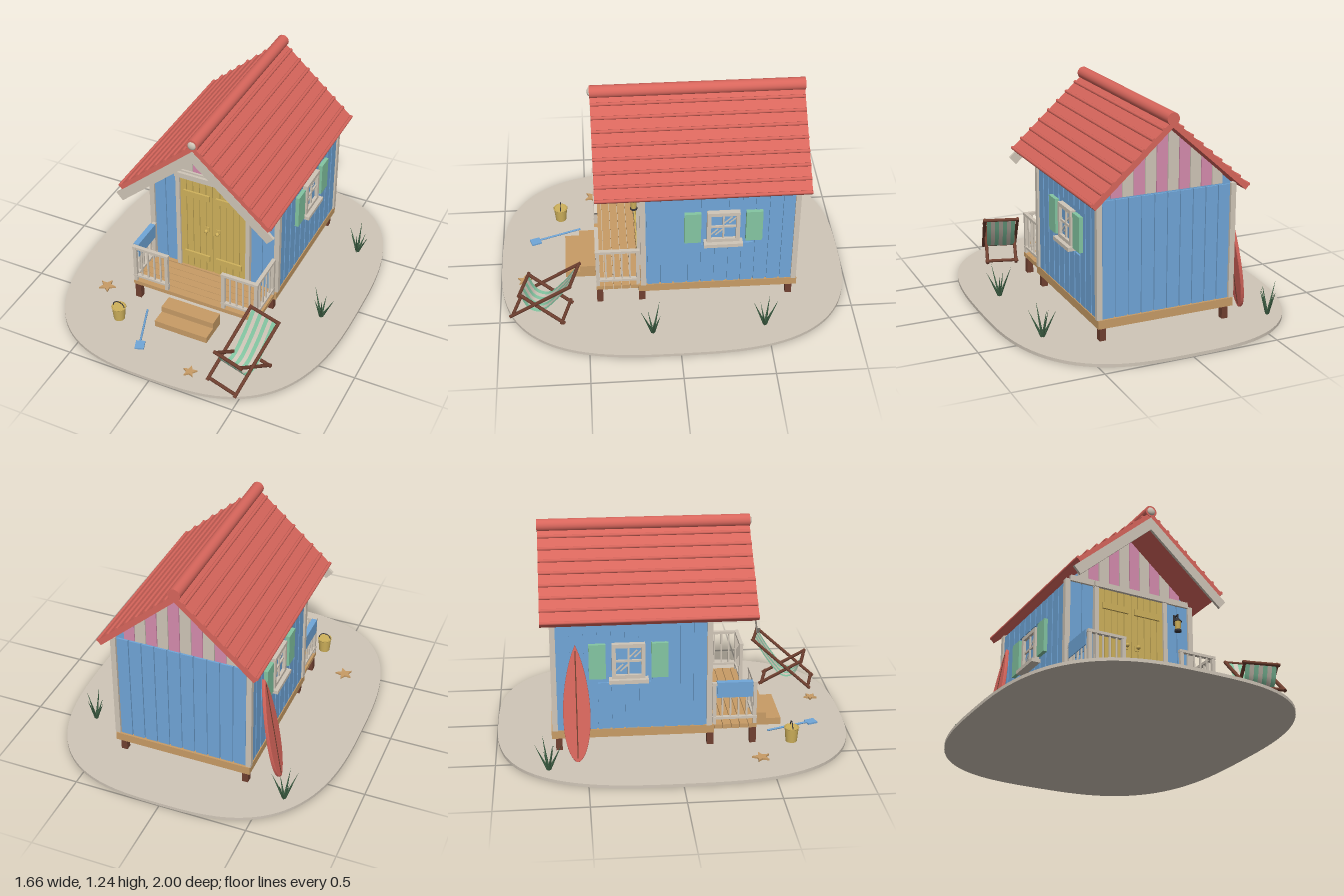
import * as THREE from 'three';

const mat = (name, color) => Object.assign(new THREE.MeshStandardMaterial({ color }), { name });
const CREAM = mat('cream sand', 0xd0c6b8), BLUE = mat('sea blue', 0x70a6d8), RED = mat('tile red', 0xd8665c);
const YELLOW = mat('door yellow', 0xd0b25c), WOOD = mat('deck wood', 0xc89c66), BROWN = mat('dark wood', 0x704030);
const MINT = mat('mint', 0x84c6a2), PINK = mat('pink', 0xd68cae), GREEN = mat('grass green', 0x3f6246);
const DARK = mat('dark metal', 0x38363a);
[MINT, CREAM, GREEN].forEach((m) => { m.side = THREE.DoubleSide; });

const GROUND = 0.018, FLOOR = 0.145, SLOPE = 0.89, A = Math.atan(SLOPE);

function add(parent, name, geo, material, x = 0, y = 0, z = 0) {
  const m = new THREE.Mesh(geo, material);
  m.name = name;
  m.position.set(x, y, z);
  parent.add(m);
  return m;
}
// box given by its minimum and maximum corners
const box = (p, name, m, x0, x1, y0, y1, z0, z1) => add(p, name,
  new THREE.BoxGeometry(x1 - x0, y1 - y0, z1 - z0), m, (x0 + x1) / 2, (y0 + y1) / 2, (z0 + z1) / 2);
const group = (p, name, x = 0, y = 0, z = 0) => {
  const g = new THREE.Group();
  g.name = name;
  g.position.set(x, y, z);
  p.add(g);
  return g;
};
const extrude = (pts, depth) => new THREE.ExtrudeGeometry(
  new THREE.Shape(pts.map(([x, y]) => new THREE.Vector2(x, y))), { depth, bevelEnabled: false });
// round or square bar between two points
function bar(p, name, m, a, b, r, sides = 8) {
  const va = new THREE.Vector3(...a), d = new THREE.Vector3(...b).sub(va);
  const o = add(p, name, new THREE.CylinderGeometry(r, r, d.length(), sides), m);
  o.position.copy(va).addScaledVector(d, 0.5);
  o.quaternion.setFromUnitVectors(new THREE.Vector3(0, 1, 0), d.normalize());
  return o;
}

function buildGround(root) {
  const pts = [];
  for (let i = 0; i < 96; i++) {
    const t = (i / 96) * Math.PI * 2, f = (v) => Math.sign(v) * Math.abs(v) ** (2 / 2.9);
    pts.push([0.83 * f(Math.cos(t)), f(Math.sin(t))]);
  }
  add(root, 'sandBase', extrude(pts, GROUND).rotateX(-Math.PI / 2), CREAM);
}

function buildWalls(root) {
  const g = group(root, 'walls');
  add(g, 'wallCore', extrude([[-0.385, FLOOR], [0.385, FLOOR], [0.385, 0.8], [0, 1.145], [-0.385, 0.8]], 0.845),
    BLUE, 0, 0, -0.667);
  // side boards, cut short around the window
  for (const s of [-1, 1]) for (let i = 0; i < 11; i++) {
    const z = 0.127 - i * 0.075, x = s * 0.389;
    const spans = z < -0.14 && z > -0.4 ? [[FLOOR, 0.42], [0.68, 0.79]] : [[FLOOR, 0.79]];
    for (const [a, b] of spans) box(g, 'sideBoard', BLUE, x - 0.006, x + 0.006, a, b, z - 0.032, z + 0.032);
  }
  // back and front boards
  for (let i = 0; i < 10; i++) {
    const x = (i - 4.5) * 0.075;
    box(g, 'backBoard', BLUE, x - 0.033, x + 0.033, FLOOR, 0.795, -0.677, -0.665);
  }
  for (const s of [-1, 1]) for (const x of [0.265, 0.34])
    box(g, 'frontBoard', BLUE, s * x - 0.033, s * x + 0.033, FLOOR, 0.795, 0.176, 0.187);
  for (const x of [-0.39, 0.39]) for (const z of [-0.67, 0.182])
    box(g, 'cornerTrim', CREAM, x - 0.015, x + 0.015, FLOOR, 0.8, z - 0.015, z + 0.015);
  // striped gable boards
  for (const z of [0.176, -0.679]) for (let i = -5; i < 5; i++) {
    const a = i * 0.065 + 0.002, b = a + 0.061, top = (x) => 1.145 - SLOPE * Math.abs(x);
    add(g, 'gableBoard', extrude([[a, 0.805], [b, 0.805], [b, top(b)], [a, top(a)]], 0.012),
      i % 2 ? CREAM : PINK, 0, 0, z);
  }
  box(g, 'gableBeam', CREAM, -0.375, 0.375, 0.79, 0.825, 0.18, 0.2);
}

function buildRoof(root) {
  const g = group(root, 'roof');
  for (const s of [-1, 1]) {
    const side = group(g, 'roofSlope', 0, 1.2, 0), L = 0.609;
    side.rotation.z = -s * A;
    add(side, 'roofSlab', new THREE.BoxGeometry(L, 0.032, 1.175), RED, s * L / 2, -0.016, -0.147);
    for (let i = 0; i < 8; i++)
      add(side, 'tileRib', new THREE.CylinderGeometry(0.01, 0.01, 1.175, 8).rotateX(Math.PI / 2), RED,
        s * (0.07 + i * 0.076), 0, -0.147);
    const barge = group(g, 'bargeBoard', 0, 1.165, 0.434);
    barge.rotation.z = -s * A;
    add(barge, 'bargePlank', new THREE.BoxGeometry(0.634, 0.057, 0.016), CREAM, s * 0.317, -0.0285, 0);
  }
  add(g, 'ridgeCap', new THREE.CylinderGeometry(0.035, 0.035, 1.18, 20).rotateX(Math.PI / 2), RED, 0, 1.203, -0.147);
  add(g, 'ridgeKnob', new THREE.SphereGeometry(0.024, 16, 10).scale(1, 1, 0.5), CREAM, 0, 1.203, 0.443);
}

function buildDoor(root) {
  const g = group(root, 'doubleDoor');
  box(g, 'doorBacking', YELLOW, -0.205, 0.205, FLOOR, 0.785, 0.176, 0.192);
  for (const s of [-1, 1]) {
    const leaf = group(g, 'doorLeaf');
    for (let i = 0; i < 5; i++)
      add(leaf, 'doorPlank', new THREE.BoxGeometry(0.036, 0.635, 0.01), YELLOW, s * (0.023 + i * 0.0405), 0.465, 0.195);
    for (const y of [0.245, 0.68])
      add(leaf, 'doorBatten', new THREE.BoxGeometry(0.16, 0.038, 0.012), YELLOW, s * 0.1, y, 0.205);
    add(leaf, 'doorPlate', new THREE.BoxGeometry(0.026, 0.03, 0.006), YELLOW, s * 0.035, 0.46, 0.202);
    add(leaf, 'doorKnob', new THREE.SphereGeometry(0.012, 12, 8), YELLOW, s * 0.035, 0.46, 0.222);
    add(g, 'doorJamb', new THREE.BoxGeometry(0.025, 0.64, 0.032), CREAM, s * 0.217, 0.465, 0.194);
  }
  box(g, 'doorHeader', CREAM, -0.232, 0.232, 0.783, 0.815, 0.18, 0.217);
}

function buildWindow(root, s) {
  const g = group(root, s > 0 ? 'leftWindow' : 'rightWindow', s * 0.385, 0.55, -0.262);
  g.rotation.y = s * Math.PI / 2; // local +z points out of the wall
  box(g, 'glass', BLUE, -0.08, 0.08, -0.095, 0.095, 0, 0.012);
  for (const e of [-1, 1]) {
    add(g, 'frameSide', new THREE.BoxGeometry(0.022, 0.2, 0.03), CREAM, e * 0.08, 0, 0.015);
    add(g, 'frameRail', new THREE.BoxGeometry(0.18, 0.022, 0.03), CREAM, 0, e * 0.09, 0.015);
    box(g, 'shutter', MINT, e * 0.17 - 0.046, e * 0.17 + 0.046, -0.097, 0.103, 0.008, 0.032);
    for (const dx of [-0.012, 0.016])
      add(g, 'glint', new THREE.BoxGeometry(0.008, 0.06, 0.003), CREAM, e * 0.038 + dx, e * 0.04, 0.013).rotation.z = -0.8;
  }
  box(g, 'mullion', CREAM, -0.005, 0.005, -0.085, 0.085, 0, 0.022);
  box(g, 'glazingBar', CREAM, -0.075, 0.075, -0.006, 0.006, 0, 0.022);
  box(g, 'sill', CREAM, -0.108, 0.108, -0.122, -0.1, 0, 0.053);
}

function buildPorch(root) {
  const g = group(root, 'porch');
  box(g, 'hutFloor', WOOD, -0.4, 0.4, 0.097, FLOOR, -0.69, 0.21);
  for (let i = 0; i < 5; i++)
    box(g, 'deckBoard', WOOD, -0.39, 0.39, 0.115, 0.14, 0.212 + i * 0.048, 0.257 + i * 0.048);
  for (const x of [-0.365, 0.365]) for (const z of [-0.65, 0.19, 0.43])
    box(g, 'stilt', BROWN, x - 0.018, x + 0.018, 0.012, 0.116, z - 0.018, z + 0.018);
  box(g, 'upperStep', WOOD, -0.164, 0.162, 0.015, 0.095, 0.45, 0.54);
  box(g, 'lowerStep', WOOD, -0.164, 0.162, 0.015, 0.058, 0.54, 0.625);
  // railings on the front and both ends
  for (const s of [-1, 1]) {
    const r = group(g, 'railing');
    for (const [x, z] of [[0.378, 0.438], [0.178, 0.438], [0.378, 0.212]])
      box(r, 'railPost', CREAM, s * x - 0.01, s * x + 0.01, 0.135, 0.385, z - 0.01, z + 0.01);
    for (const [y, h] of [[0.382, 0.016], [0.178, 0.014]]) {
      add(r, 'frontRail', new THREE.BoxGeometry(0.225, h, 0.022), CREAM, s * 0.278, y, 0.438);
      add(r, 'sideRail', new THREE.BoxGeometry(0.022, h, 0.25), CREAM, s * 0.378, y, 0.325);
    }
    for (let i = 1; i < 5; i++) {
      add(r, 'frontBaluster', new THREE.BoxGeometry(0.009, 0.2, 0.009), CREAM, s * (0.178 + i * 0.04), 0.28, 0.438);
      add(r, 'sideBaluster', new THREE.BoxGeometry(0.009, 0.2, 0.009), CREAM, s * 0.378, 0.28, 0.212 + i * 0.045);
    }
  }
  // towel over the right railing
  box(g, 'towelTop', BLUE, -0.394, -0.362, 0.39, 0.395, 0.225, 0.425);
  box(g, 'towelInside', BLUE, -0.366, -0.362, 0.305, 0.392, 0.225, 0.425);
  box(g, 'towelOutside', BLUE, -0.394, -0.39, 0.305, 0.392, 0.225, 0.425);
}

function buildLantern(root) {
  const g = group(root, 'lantern', 0.29, 0, 0.225);
  add(g, 'lampGlass', new THREE.CylinderGeometry(0.018, 0.016, 0.056, 8), YELLOW, 0, 0.647);
  add(g, 'lampBase', new THREE.CylinderGeometry(0.021, 0.021, 0.01, 8), DARK, 0, 0.617);
  add(g, 'lampCap', new THREE.CylinderGeometry(0.008, 0.025, 0.022, 8), DARK, 0, 0.685);
  box(g, 'lampPlate', DARK, -0.009, 0.009, 0.665, 0.728, -0.042, -0.03);
  bar(g, 'lampArm', DARK, [0, 0.717, -0.035], [0, 0.717, 0.004], 0.005);
  bar(g, 'lampHook', DARK, [0, 0.717, 0], [0, 0.69, 0], 0.004);
}

function buildDeckChair(root) {
  const g = group(root, 'deckChair', 0.44, 0, 0.735);
  g.rotation.y = -0.28;
  for (const x of [-0.098, 0.098]) {
    bar(g, 'longFrame', BROWN, [x, 0.325, -0.18], [x, 0.028, 0.185], 0.01);
    bar(g, 'shortFrame', BROWN, [x * 0.88, 0.2, 0.13], [x * 0.88, 0.028, -0.13], 0.01);
  }
  for (const [y, z] of [[0.318, -0.172], [0.195, 0.125], [0.038, 0.172], [0.038, -0.115]])
    bar(g, 'crossBar', BROWN, [-0.1, y, z], [0.1, y, z], 0.01);
  // striped sling
  const sag = new THREE.CatmullRomCurve3([[0.325, -0.172], [0.19, -0.085], [0.09, 0.01], [0.1, 0.075], [0.203, 0.128]]
    .map(([y, z]) => new THREE.Vector3(0, y, z)));
  for (let i = 0; i < 7; i++) {
    const geo = new THREE.PlaneGeometry(0.024, 1, 1, 14), p = geo.attributes.position;
    for (let k = 0; k < p.count; k++) {
      const c = sag.getPoint(0.5 - p.getY(k));
      p.setXYZ(k, p.getX(k) + (i - 3) * 0.024, c.y, c.z);
    }
    geo.computeVertexNormals();
    add(g, 'slingStripe', geo, i % 2 ? CREAM : MINT);
  }
}

function buildBeachThings(root) {
  // surfboard leaning on the right wall
  const surf = group(root, 'surfboard', -0.532, 0.018, -0.55);
  surf.rotation.z = -0.165;
  const outline = new THREE.Shape();
  outline.moveTo(0, 0);
  outline.bezierCurveTo(0.075, 0.03, 0.11, 0.36, 0, 0.645);
  outline.bezierCurveTo(-0.11, 0.36, -0.075, 0.03, 0, 0);
  add(surf, 'board', new THREE.ExtrudeGeometry(outline, { depth: 0.012, curveSegments: 20, bevelSize: 0.004,
    bevelThickness: 0.004, bevelSegments: 2 }).rotateY(Math.PI / 2), RED);
  box(surf, 'stringer', BROWN, -0.006, 0.018, 0.02, 0.62, -0.003, 0.003);

  const bucket = group(root, 'bucket', -0.38, 0, 0.65);
  add(bucket, 'pail', new THREE.CylinderGeometry(0.04, 0.032, 0.085, 20), YELLOW, 0, 0.06);
  add(bucket, 'pailRim', new THREE.TorusGeometry(0.039, 0.004, 6, 24).rotateX(Math.PI / 2), YELLOW, 0, 0.102);
  add(bucket, 'handle', new THREE.TorusGeometry(0.036, 0.003, 6, 16, Math.PI), DARK, 0, 0.1);

  const spade = group(root, 'spade');
  bar(spade, 'spadeHandle', BLUE, [-0.26, 0.028, 0.535], [-0.175, 0.028, 0.775], 0.006);
  add(spade, 'spadeBlade', new THREE.BoxGeometry(0.052, 0.01, 0.06), BLUE, -0.163, 0.025, 0.803).rotation.y = 0.34;

  for (const [x, z, r, turn] of [[-0.575, 0.45, 0.052, 0.2], [0.18, 0.865, 0.042, 0.5]]) {
    const pts = [...Array(10).keys()].map((i) => {
      const q = i % 2 ? r * 0.45 : r, t = i * Math.PI / 5 + turn;
      return [q * Math.cos(t), q * Math.sin(t)];
    });
    add(root, 'starfish', extrude(pts, 0.014).rotateX(-Math.PI / 2), WOOD, x, 0.015, z);
  }

  // beach grass tufts
  for (const [x, z, n] of [[-0.61, -0.71, 6], [0.635, -0.485, 6], [0.655, 0.145, 5]]) {
    const tuft = group(root, 'grassTuft', x, 0.012, z);
    for (let i = 0; i < n; i++) {
      const blade = add(tuft, 'grassBlade', new THREE.ConeGeometry(0.009, 1, 4).translate(0, 0.5, 0), GREEN);
      const h = 0.13 + 0.05 * ((i * 2) % 3) / 2;
      blade.scale.y = h + 0.02;
      blade.rotation.set(0, i * 2 * Math.PI / n + x, 0.3 + 0.07 * (i % 3), 'YXZ');
    }
  }
}

export function createModel() {
  const root = new THREE.Group();
  root.name = 'beachHut';
  buildGround(root);
  buildWalls(root);
  buildRoof(root);
  buildDoor(root);
  buildWindow(root, 1);
  buildWindow(root, -1);
  buildPorch(root);
  buildLantern(root);
  buildDeckChair(root);
  buildBeachThings(root);
  return root;
}
